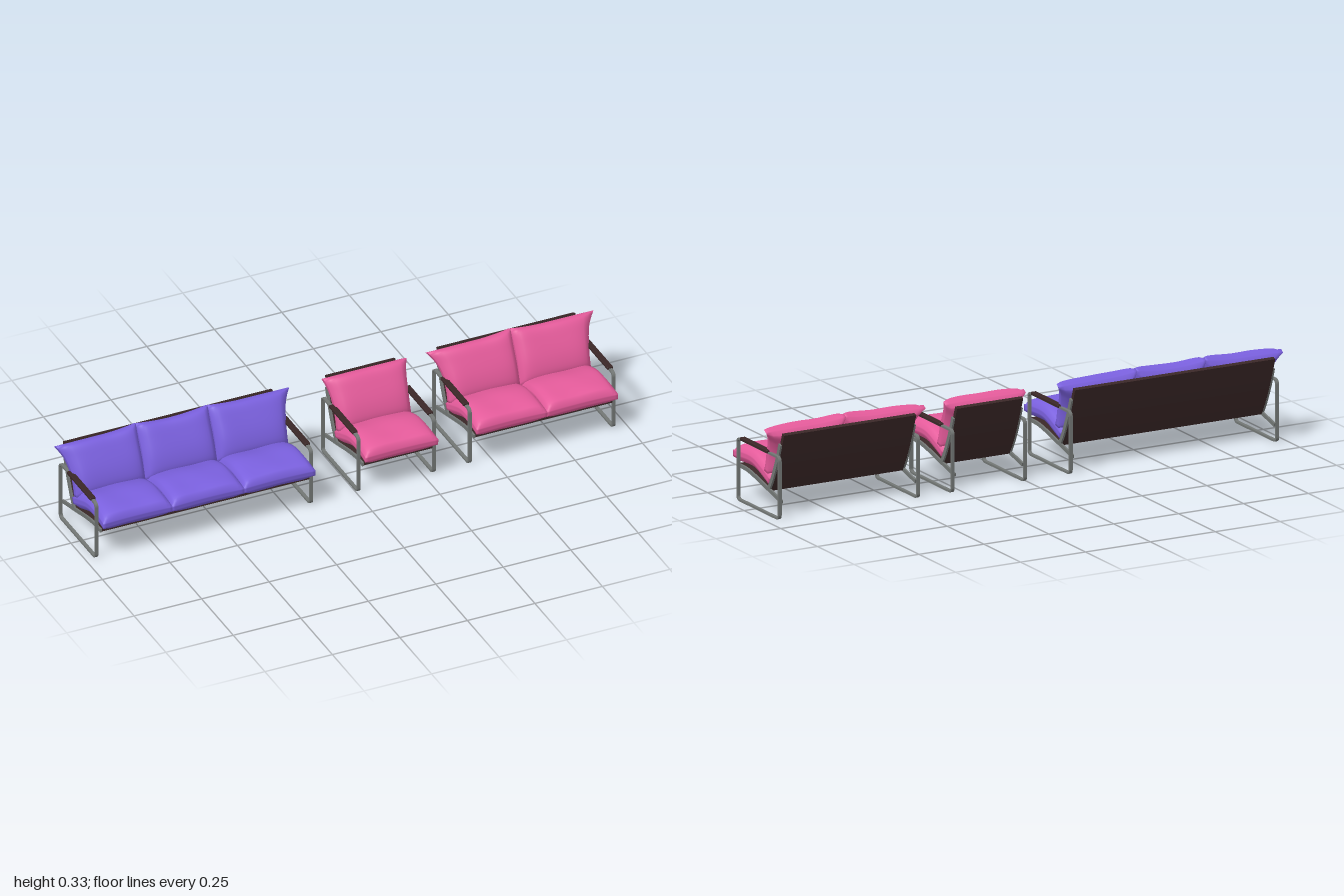
import * as THREE from 'three';
import { mergeVertices } from 'three/addons/utils/BufferGeometryUtils.js';
import { RoundedBoxGeometry } from 'three/addons/geometries/RoundedBoxGeometry.js';

const material = (name, color) => {
  const m = new THREE.MeshStandardMaterial({ color });
  m.name = name;
  return m;
};

// Spine from [z, y] pairs, lying in the side plane
const spine = (pts) => new THREE.CatmullRomCurve3(pts.map(([z, y]) => new THREE.Vector3(0, y, z)));

const seatRailLine = spine([[0.14, 0.119], [0.085, 0.118], [0.04, 0.111], [-0.06, 0.087], [-0.16, 0.063]]);
const seatPanelLine = spine([[0.138, 0.119], [0.085, 0.118], [0.04, 0.111], [-0.072, 0.084]]);
const backRailLine = spine([[-0.072, 0.088], [-0.092, 0.122], [-0.117, 0.175], [-0.138, 0.23], [-0.148, 0.26]]);
const backPanelLine = spine([[-0.07, 0.084], [-0.092, 0.122], [-0.117, 0.175], [-0.138, 0.23], [-0.162, 0.298]]);
const seatCushionLine = spine([[0.168, 0.153], [0.11, 0.16], [0.04, 0.159], [-0.03, 0.135], [-0.076, 0.116]]);
const backCushionLine = spine([[-0.055, 0.142], [-0.077, 0.215], [-0.107, 0.273], [-0.132, 0.313]]);

// Side profile (X = -z, Y = y) extruded across x
function extrudeAcross(shape, x0, x1) {
  const g = new THREE.ExtrudeGeometry(shape, { depth: x1 - x0, bevelEnabled: false, curveSegments: 6 });
  return g.rotateY(Math.PI / 2).translate(x0, 0, 0);
}

// Bent board of even thickness following a spine
function strip(line, thick, x0, x1) {
  const top = [], bottom = [];
  for (let i = 0; i <= 16; i++) {
    const p = line.getPoint(i / 16), t = line.getTangent(i / 16);
    const dz = -t.z * thick / 2, dy = t.y * thick / 2;
    top.push(new THREE.Vector2(-(p.z + dy), p.y + dz));
    bottom.unshift(new THREE.Vector2(-(p.z - dy), p.y - dz));
  }
  return extrudeAcross(new THREE.Shape([...top, ...bottom]), x0, x1);
}

function roundedRect(path, x0, y0, x1, y1, r) {
  path.moveTo(x0 + r, y0);
  path.lineTo(x1 - r, y0).absarc(x1 - r, y0 + r, r, -Math.PI / 2, 0);
  path.lineTo(x1, y1 - r).absarc(x1 - r, y1 - r, r, 0, Math.PI / 2);
  path.lineTo(x0 + r, y1).absarc(x0 + r, y1 - r, r, Math.PI / 2, Math.PI);
  path.lineTo(x0, y0 + r).absarc(x0 + r, y0 + r, r, Math.PI, Math.PI * 1.5);
  return path;
}

// Soft pillow: a box bent along a spine, thick in the middle and thin at its rim
function pillow(line, x0, x1, H, { flareL = 0, flareR = 0, liftL = 0, liftR = 0, taper = 0, seed = 0 } = {}) {
  let g = new THREE.BoxGeometry(2, 2, 2, 24, 24, 4);
  g.deleteAttribute('uv');
  g.deleteAttribute('normal');
  g = mergeVertices(g);
  const P = g.attributes.position;
  const mid = (x0 + x1) / 2, half = (x1 - x0) / 2, rim = 0.011;
  for (let i = 0; i < P.count; i++) {
    const a = P.getX(i), b = P.getY(i), c = P.getZ(i), t = (b + 1) / 2;
    const u = 0.5 + 0.5 * b * (1 - 0.035 * (1 - a * a));
    const p = line.getPoint(u), d = line.getTangent(u);
    const puff = Math.sqrt((1 - a ** 6) * (1 - b ** 6));
    const crease = 0.0012 * Math.sin(5 * a + 3 * b + seed * 2) * puff;
    const h = c * ((rim + (H - rim) * puff) * (1 - taper * t)) + crease;
    const flare = a > 0 ? flareR : -flareL, lift = a > 0 ? liftR : liftL;
    const x = mid + half * a * (1 - 0.02 * (1 - b * b)) + flare * Math.abs(a) ** 3 * t * t;
    P.setXYZ(i, x, p.y - d.z * h + lift * a * a * t * t, p.z + d.y * h);
  }
  g.computeVertexNormals();
  return g;
}

export function createModel() {
  const purple = material('purple fabric', 0x7a60de);
  const pink = material('pink fabric', 0xe55b9b);
  const wood = material('dark wood', 0x3a2727);
  const metal = material('grey metal', 0x727674);
  const model = new THREE.Group();
  model.name = 'seatingSet';

  function seating(name, xL, xR, fabric, seams, flare) {
    const group = new THREE.Group();
    group.name = name;
    const add = (part, geometry, mat) => {
      const mesh = new THREE.Mesh(geometry, mat);
      mesh.name = part;
      group.add(mesh);
      return mesh;
    };

    // Side frames, rails and armrests, mirrored about the middle
    for (const [x, s] of [[xL, 1], [xR, -1]]) {
      const loop = roundedRect(new THREE.Shape(), -0.126, 0.001, 0.163, 0.222, 0.018);
      loop.holes.push(roundedRect(new THREE.Path(), -0.119, 0.008, 0.156, 0.215, 0.011));
      add('sideFrame', extrudeAcross(loop, x - 0.006, x + 0.006), metal);
      const r0 = x + s * 0.009 - 0.0035, r1 = r0 + 0.007;
      add('seatRail', strip(seatRailLine, 0.013, r0, r1), metal);
      add('backRail', strip(backRailLine, 0.015, r0, r1), metal);
      add('armrest', new RoundedBoxGeometry(0.021, 0.011, 0.186, 2, 0.003), wood).position.set(x, 0.2225, 0.003);
    }

    // Shell panels between the rails
    add('seatPanel', strip(seatPanelLine, 0.011, xL + 0.012, xR - 0.012), wood);
    add('backPanel', strip(backPanelLine, 0.014, xL + 0.012, xR - 0.012), wood);

    // One seat and one back cushion per place
    const edges = [xL + 0.005, ...seams, xR - 0.005], last = edges.length - 2;
    for (let i = 0; i <= last; i++) {
      add('seatCushion', pillow(seatCushionLine, edges[i], edges[i + 1], 0.035, { seed: i }), fabric);
      add('backCushion', pillow(backCushionLine, edges[i], edges[i + 1], 0.042, {
        flareL: i === 0 ? flare : 0,
        flareR: i === last ? flare : 0,
        liftL: i === 0 ? -0.004 : 0.009,
        liftR: i === last ? -0.004 : 0.009,
        taper: 0.2, seed: i + 1,
      }), fabric);
    }
    model.add(group);
  }

  seating('threeSeatSofa', -0.963, -0.168, purple, [-0.702, -0.436], 0.04);
  seating('armchair', 0.008, 0.287, pink, [], 0.02);
  seating('twoSeatSofa', 0.42, 0.953, pink, [0.686], 0.046);
  return model;
}
